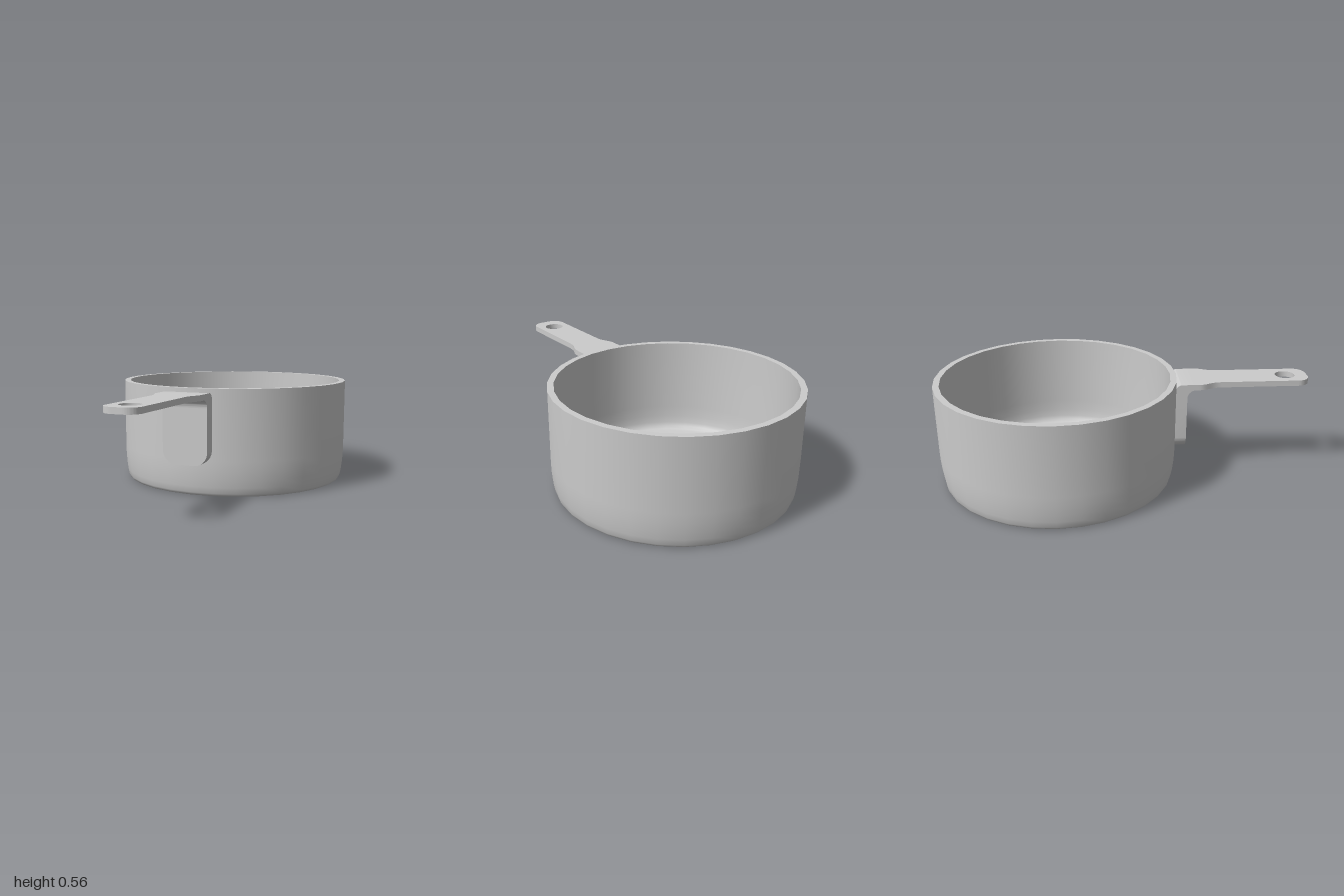
import * as THREE from 'three';
import { toCreasedNormals } from 'three/addons/utils/BufferGeometryUtils.js';

const CUP_Z = -0.357;   // cup axis
const HALF = 0.125;     // half width of the mounting plate
const TOP = 0.545;      // top face of the handle
const UNDER = 0.515;    // underside of the handle
const BACK = 0.272, FACE = 0.334; // back and front of the mounting plate

export function createModel() {
  const group = new THREE.Group();
  const material = new THREE.MeshStandardMaterial({ color: 0xcccccc });

  const add = (name, geometry) => {
    const mesh = new THREE.Mesh(toCreasedNormals(geometry, 0.6), material);
    mesh.name = name;
    group.add(mesh);
    return mesh;
  };
  const extrude = (shape, depth) =>
    new THREE.ExtrudeGeometry(shape, { depth, bevelEnabled: false, curveSegments: 10 });

  // Cup: closed wall profile, outside going up, inside coming down
  const profile = [
    [0, 0], [0.607, 0], [0.615, 0.002], [0.622, 0.008], [0.627, 0.018],
    [0.633, 0.05], [0.638, 0.09], [0.642, 0.14], [0.643, 0.19], [0.643, 0.565],
    [0.61, 0.565], [0.61, 0.17], [0.607, 0.11], [0.602, 0.07], [0.595, 0.048],
    [0.582, 0.035], [0.565, 0.03], [0, 0.03],
  ].map(([r, y]) => new THREE.Vector2(r, y));
  add('cup', new THREE.LatheGeometry(profile, 32)).position.z = CUP_Z;

  // Mounting plate with rounded lower corners
  const plate = new THREE.Shape();
  const r = 0.075, low = 0.172, bendY = 0.47;
  plate.moveTo(-HALF, bendY);
  plate.lineTo(-HALF, low + r);
  plate.absarc(-HALF + r, low + r, r, Math.PI, 1.5 * Math.PI);
  plate.absarc(HALF - r, low + r, r, 1.5 * Math.PI, 2 * Math.PI);
  plate.lineTo(HALF, bendY);
  add('mountingPlate', extrude(plate, FACE - BACK)).position.z = BACK;

  // Bend joining plate and grip: side profile (z, y) extruded across x
  const bend = new THREE.Shape();
  const bendZ = FACE + UNDER - bendY, outer = 0.035;
  bend.moveTo(BACK, bendY);
  bend.lineTo(FACE, bendY);
  bend.absarc(bendZ, bendY, UNDER - bendY, Math.PI, Math.PI / 2, true);
  bend.lineTo(bendZ, TOP);
  bend.absarc(BACK + outer, TOP - outer, outer, Math.PI / 2, Math.PI);
  const bendGeometry = extrude(bend, 2 * HALF).rotateY(-Math.PI / 2);
  add('handleBend', bendGeometry).position.x = HALF;

  // Flat grip: outline in (x, z), necking in, rounded end and hanging hole
  const grip = new THREE.Shape();
  const w = 0.092, c = 0.065;
  grip.moveTo(HALF, bendZ);
  grip.lineTo(HALF, 0.4);
  grip.bezierCurveTo(HALF, 0.44, w, 0.46, w, 0.52);
  grip.lineTo(w, 1 - c);
  grip.absarc(w - c, 1 - c, c, 0, Math.PI / 2);
  grip.absarc(-w + c, 1 - c, c, Math.PI / 2, Math.PI);
  grip.lineTo(-w, 0.52);
  grip.bezierCurveTo(-w, 0.46, -HALF, 0.44, -HALF, 0.4);
  grip.lineTo(-HALF, bendZ);
  const hole = new THREE.Path();
  hole.absarc(0, 0.88, 0.053, 0, 2 * Math.PI, true);
  grip.holes.push(hole);
  add('handleGrip', extrude(grip, TOP - UNDER).rotateX(Math.PI / 2)).position.y = TOP;

  return group;
}
